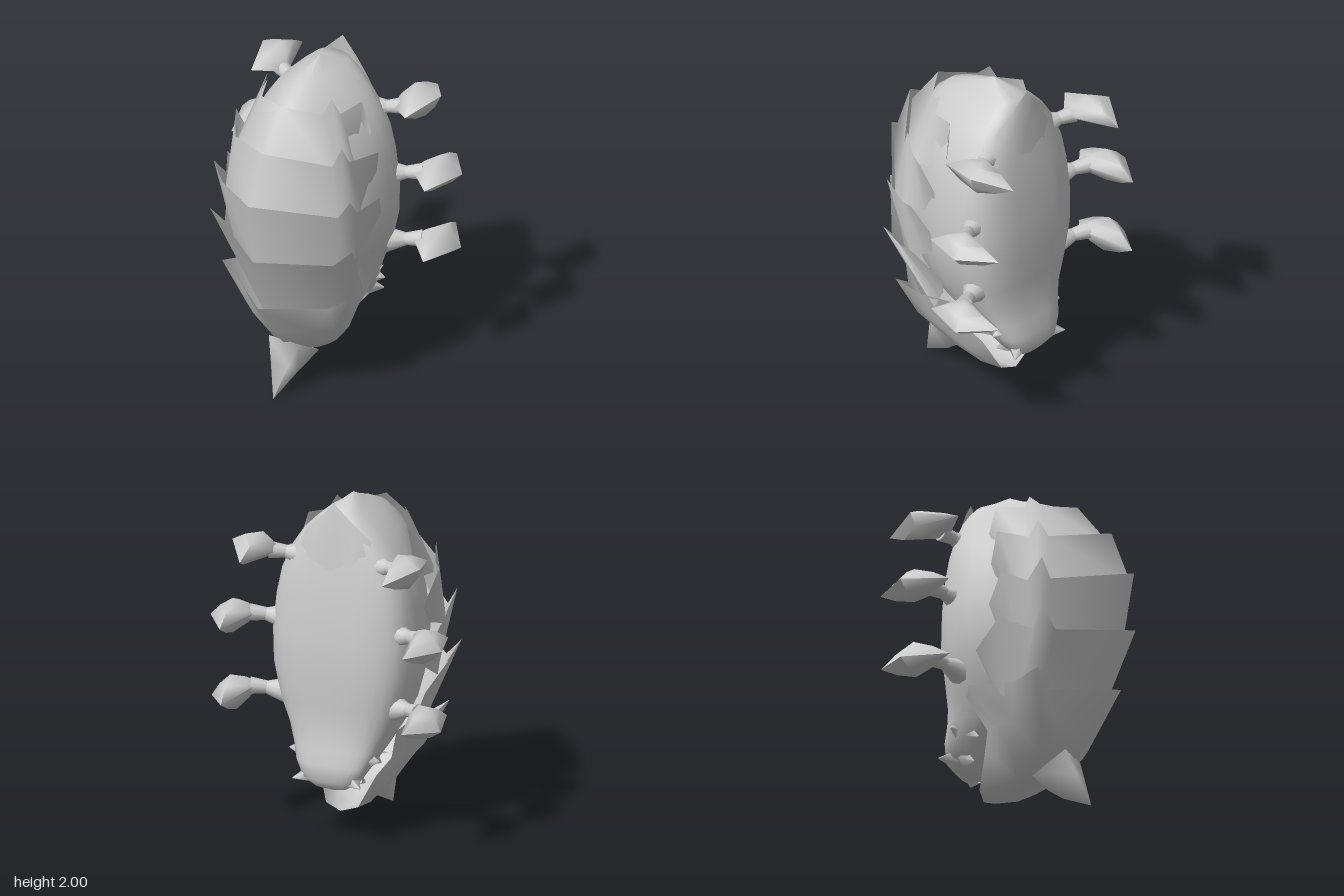
import * as THREE from 'three';
import { mergeVertices, toCreasedNormals } from 'three/addons/utils/BufferGeometryUtils.js';

const material = new THREE.MeshStandardMaterial({ color: 0xcccccc, side: THREE.DoubleSide });

// Skin rows of points (top row first, each running from -x to +x across the front)
function skin(name, rows, crease) {
  const n = rows[0].length, index = [];
  for (let r = 0; r < rows.length - 1; r++) {
    for (let c = 0; c < n - 1; c++) {
      const a = r * n + c, b = a + n;
      index.push(a, b, b + 1, a, b + 1, a + 1);
    }
  }
  let g = new THREE.BufferGeometry();
  g.setAttribute('position', new THREE.Float32BufferAttribute(rows.flat(2), 3));
  g.setIndex(index);
  g = toCreasedNormals(mergeVertices(g, 1e-4), crease);
  const mesh = new THREE.Mesh(g, material);
  mesh.name = name;
  return mesh;
}

// Half row (centre to +x side) mirrored into a full row
const mirrorRow = h => [...h.slice(1).reverse().map(([x, y, z]) => [-x, y, z]), ...h];
const closed = ring => [...ring, ring[0]];
const mix = (a, b, t) => a.map((v, i) => v + (b[i] - v) * t);

// Body cross-section: slightly keeled front, flatter belly behind
function bodyRing([y, w, front, back]) {
  const ring = [], mid = front * 0.3 + back * 0.7, seg = 32;
  for (let i = 0; i <= seg; i++) {
    const t = (i / seg) * Math.PI * 2, s = Math.sin(t), c = Math.cos(t);
    const p = c < 0 ? 0.68 : 1.08;
    const x = w * Math.sign(s) * Math.abs(s) ** p;
    const z = mid + (c > 0 ? front - mid : mid - back) * Math.sign(c) * Math.abs(c) ** p;
    ring.push([x, y, z]);
  }
  return ring;
}

function rod(name, from, to, r0, r1, sides) {
  const a = new THREE.Vector3(...from), b = new THREE.Vector3(...to), d = b.clone().sub(a);
  const mesh = new THREE.Mesh(new THREE.CylinderGeometry(r1, r0, d.length(), sides), material);
  mesh.position.copy(a).add(b).multiplyScalar(0.5);
  mesh.quaternion.setFromUnitVectors(new THREE.Vector3(0, 1, 0), d.normalize());
  mesh.name = name;
  return mesh;
}

// Upper rims of the plates: centre, corner, tip, notch, spike, end
const rims = [
  [[0, 1.86, 0.3], [0.2, 1.81, 0.18], [0.21, 1.88, 0.1], [0.26, 1.79, 0.09], [0.31, 1.81, -0.06], [0.36, 1.62, -0.08]],
  [[0, 1.66, 0.51], [0.32, 1.555, 0.27], [0.35, 1.655, 0.22], [0.37, 1.55, 0.17], [0.47, 1.57, 0.02], [0.42, 1.4, -0.04]],
  [[0, 1.385, 0.65], [0.38, 1.26, 0.31], [0.45, 1.37, 0.29], [0.43, 1.25, 0.19], [0.5, 1.3, 0.06], [0.45, 1.14, -0.04]],
  [[0, 1.03, 0.66], [0.36, 0.95, 0.33], [0.47, 1.06, 0.3], [0.42, 0.95, 0.22], [0.51, 1.015, 0.05], [0.45, 0.87, -0.12]],
  [[0, 0.68, 0.57], [0.29, 0.62, 0.27], [0.42, 0.71, 0.25], [0.39, 0.66, 0.09], [0.37, 0.7, -0.2], [0.33, 0.66, -0.24]],
];
const insets = [0.015, 0.02, 0.08, 0.09];

// Lower edge of a plate, tucked inside the next rim, its end sinking into the body
function tuck(rim, next, inset) {
  const end = [rim[5][0] * 0.86, mix(rim[5], next[5], 0.6)[1], rim[5][2] + 0.04];
  const inside = ([x, y, z]) => [x * (1 - inset * 0.6), y - 0.06, z - inset];
  const notch = inside(next[3]);
  return [inside(next[0]), inside(next[1]), inside(mix(next[1], next[3], 0.5)), notch, mix(notch, end, 0.6), end];
}

function createLeg(x, y, roll) {
  const leg = new THREE.Group();
  leg.name = 'leg';
  const claw = new THREE.Group();
  claw.name = 'claw';
  const girdle = [[0.035, -0.01, -0.2], [0.125, 0, -0.46], [-0.03, -0.01, -0.655], [-0.125, 0.02, -0.33]];
  const up = [0, 0.105, -0.43], down = [0, -0.1, -0.43];
  // Slightly swollen diamond
  const swell = pole => closed(girdle.map(p => {
    const m = mix(p, pole, 0.5);
    return [m[0] * 1.1, m[1] * 1.15, -0.43 + (m[2] + 0.43) * 1.08];
  }));
  claw.add(skin('clawShell', [Array(5).fill(up), swell(up), closed(girdle), swell(down), Array(5).fill(down)], 1.4));
  claw.position.set(x, y, 0);
  claw.rotation.z = roll;
  const jx = x - 0.1 * Math.cos(roll), jy = y - 0.1 * Math.sin(roll) + 0.01;
  leg.add(claw,
    rod('legJoint', [jx - 0.06, jy - 0.01, -0.315], [jx + 0.03, jy, -0.36], 0.036, 0.05, 10),
    rod('legBase', [jx - 0.2, jy - 0.03, -0.26], [jx - 0.05, jy - 0.01, -0.32], 0.09, 0.036, 10));
  return leg;
}

export function createModel() {
  const model = new THREE.Group();
  model.name = 'armouredGrub';

  // Body with the chin hanging at the lower back: y, half width, front z, back z
  const sections = [
    [2.0, 0, -0.12, -0.121], [1.96, 0.05, -0.03, -0.22], [1.93, 0.1, 0.06, -0.31], [1.87, 0.17, 0.2, -0.34],
    [1.79, 0.25, 0.29, -0.36], [1.68, 0.325, 0.34, -0.38], [1.55, 0.38, 0.36, -0.4], [1.4, 0.41, 0.4, -0.42],
    [1.2, 0.43, 0.43, -0.435], [1.0, 0.42, 0.44, -0.445], [0.8, 0.375, 0.36, -0.43], [0.66, 0.31, 0.28, -0.43],
    [0.56, 0.265, 0.14, -0.445], [0.47, 0.225, -0.06, -0.465], [0.38, 0.17, -0.18, -0.47], [0.33, 0.1, -0.28, -0.43],
    [0.3, 0, -0.36, -0.361],
  ];
  model.add(skin('body', sections.map(bodyRing), 1.2));

  // Pointed upper end of the belly, wrapping round the crown
  model.add(skin('bellyPoint', [
    [[0, 2, -0.36], [0.1, 1.9, -0.345], [0.2, 1.8, -0.315], [0.3, 1.67, -0.25]],
    [[0, 1.8, -0.375], [0.13, 1.76, -0.37], [0.24, 1.68, -0.34], [0.31, 1.6, -0.26]],
    [[0, 1.5, -0.4], [0.12, 1.5, -0.395], [0.24, 1.5, -0.37], [0.32, 1.5, -0.27]],
  ].map(mirrorRow), 1.5));

  // Overlapping armour plates
  insets.forEach((inset, i) => {
    model.add(skin('armourPlate', [rims[i], tuck(rims[i], rims[i + 1], inset)].map(mirrorRow), 1.6));
  });

  // Head shell closing below into the upper jaw
  model.add(skin('headShell', [
    rims[4],
    [[0, 0.46, 0.4], [0.2, 0.44, 0.27], [0.29, 0.45, 0.2], [0.31, 0.45, 0.05], [0.28, 0.47, -0.07], [0.25, 0.46, -0.14]],
    [[0, 0.3, 0.26], [0.1, 0.3, 0.22], [0.17, 0.3, 0.14], [0.2, 0.28, 0], [0.2, 0.29, -0.1], [0.18, 0.36, -0.19]],
    [[0, 0.22, 0.14], [0.06, 0.21, 0.1], [0.1, 0.21, 0.06], [0.11, 0.19, -0.02], [0.11, 0.17, -0.12], [0.1, 0.18, -0.26]],
    [[0, 0.2, 0.1], [0, 0.2, 0.08], [0, 0.2, 0.05], [0, 0.18, -0.02], [0, 0.14, -0.12], [0, 0.15, -0.28]],
  ].map(mirrorRow), 1.6));

  // Curved horn
  model.add(skin('horn', [
    [[-0.1, 0.33, 0.27], [0.1, 0.33, 0.27], [0.11, 0.2, 0.07], [-0.11, 0.2, 0.07]],
    [[-0.055, 0.19, 0.32], [0.055, 0.19, 0.32], [0.045, 0.1, 0.19], [-0.045, 0.1, 0.19]],
    Array(4).fill([0, 0, 0.385]),
  ].map(closed), 1.8));

  // Legs and chin teeth, mirrored on both sides
  for (const side of [1, -1]) {
    const half = new THREE.Group();
    half.name = side > 0 ? 'leftSide' : 'rightSide';
    half.scale.x = side;
    half.add(createLeg(0.47, 1.69, 0.35), createLeg(0.6, 1.265, 0), createLeg(0.595, 0.81, -0.2));
    half.add(
      rod('tooth', [0.2, 0.51, -0.35], [0.28, 0.51, -0.355], 0.055, 0.005, 4),
      rod('tooth', [0.13, 0.39, -0.4], [0.21, 0.37, -0.46], 0.055, 0.005, 4),
      rod('tooth', [0.19, 0.49, -0.27], [0.22, 0.45, -0.21], 0.05, 0.005, 4),
      rod('tooth', [0.13, 0.38, -0.34], [0.15, 0.34, -0.27], 0.05, 0.005, 4));
    model.add(half);
  }
  return model;
}
